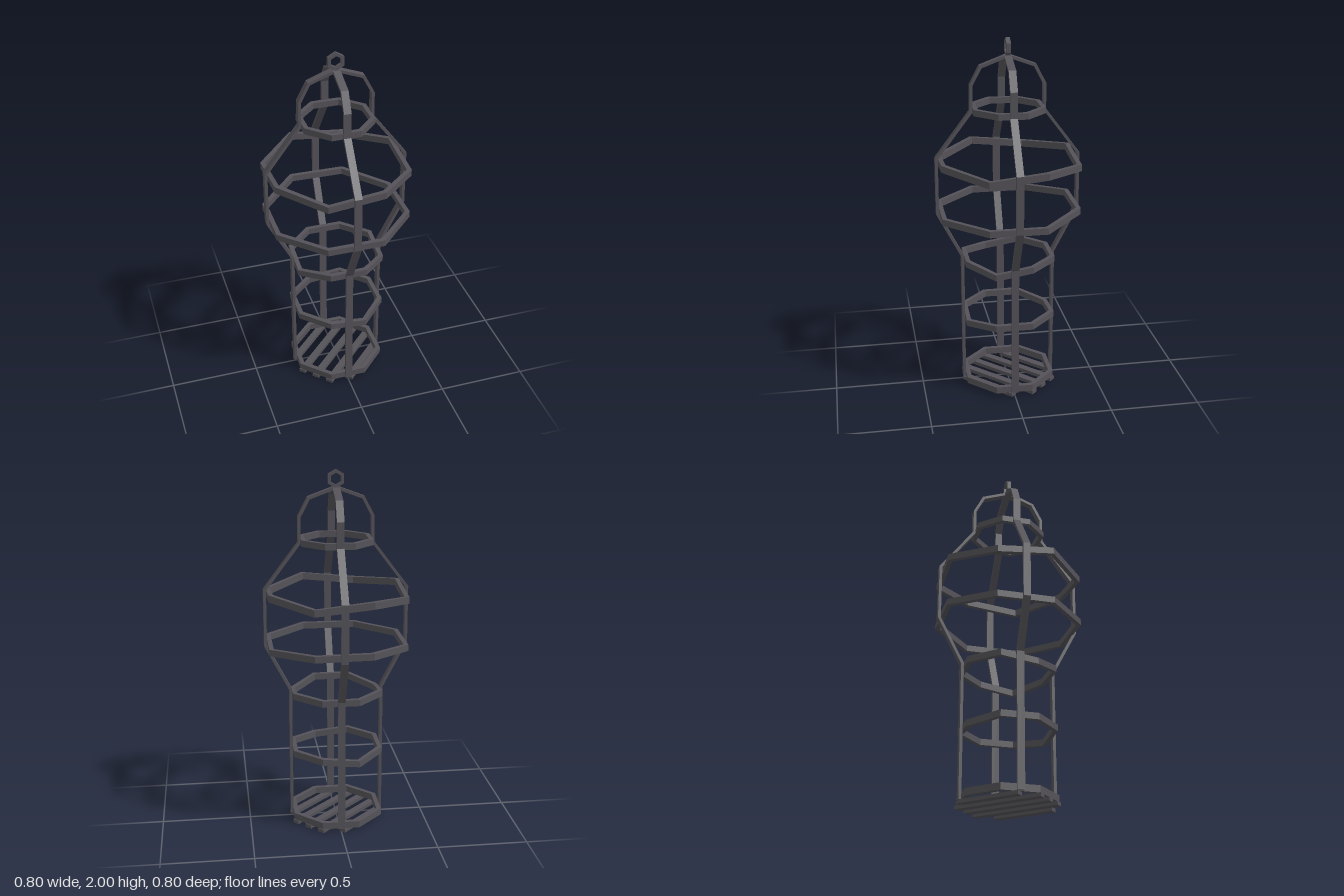
import * as THREE from 'three';

const iron = new THREE.MeshStandardMaterial({ color: 0x545258 });
iron.name = 'dark iron';

// Joins four-cornered cross-sections into a flat-faced bar
function loft(sections, closed) {
  const pos = [];
  const quad = (a, b, c, d) => pos.push(...a, ...b, ...c, ...a, ...c, ...d);
  const n = sections.length;
  for (let i = 0; i < (closed ? n : n - 1); i++) {
    const A = sections[i], B = sections[(i + 1) % n];
    for (let j = 0; j < 4; j++) {
      const k = (j + 1) % 4;
      quad(A[j], A[k], B[k], B[j]);
    }
  }
  if (!closed) {
    const [a, b, c, d] = sections[0];
    quad(d, c, b, a);
    quad(...sections[n - 1]);
  }
  const g = new THREE.BufferGeometry();
  g.setAttribute('position', new THREE.Float32BufferAttribute(pos, 3));
  g.computeVertexNormals();
  return g;
}

// Octagonal hoop; lifts bends each corner up or down
function hoopGeometry(y, apothem, height, lifts) {
  const sections = [];
  for (let k = 0; k < 8; k++) {
    const t = Math.PI / 8 + k * Math.PI / 4;
    const mid = y + (lifts[k] || 0);
    const corner = (a, dy) => {
      const r = a / Math.cos(Math.PI / 8);
      return [-r * Math.sin(t), mid + dy, r * Math.cos(t)];
    };
    const h = height / 2, inner = apothem - 0.025;
    sections.push([corner(apothem, -h), corner(apothem, h), corner(inner, h), corner(inner, -h)]);
  }
  return loft(sections, true);
}

// Flat upright strap following a profile of [radius, height], mitred at bends
function strapGeometry(profile, width, thickness) {
  const pts = profile.map(p => new THREE.Vector2(...p));
  const w = width / 2;
  const sections = pts.map((p, i) => {
    const before = p.clone().sub(pts[Math.max(i - 1, 0)]).normalize();
    const after = pts[Math.min(i + 1, pts.length - 1)].clone().sub(p).normalize();
    const dir = before.clone().add(after).normalize();
    const cosHalf = i === 0 || i === pts.length - 1 ? 1 : dir.dot(after);
    const off = new THREE.Vector2(dir.y, -dir.x).multiplyScalar(thickness / 2 / cosHalf);
    const o = p.clone().add(off), q = p.clone().sub(off);
    return [[o.x, o.y, w], [o.x, o.y, -w], [q.x, q.y, -w], [q.x, q.y, w]];
  });
  return loft(sections, false);
}

export function createModel() {
  const model = new THREE.Group();
  model.name = 'hangingCage';
  const add = (geometry, name) => {
    const mesh = new THREE.Mesh(geometry, iron);
    mesh.name = name;
    model.add(mesh);
    return mesh;
  };

  // Four upright straps meeting at the crown
  const strap = strapGeometry([
    [0.257, 0.025], [0.257, 0.78], [0.392, 1.04], [0.392, 1.355],
    [0.2, 1.61], [0.2, 1.75], [0.148, 1.85], [0, 1.905],
  ], 0.04, 0.016);
  for (let i = 0; i < 4; i++) add(strap, 'uprightStrap').rotation.y = i * Math.PI / 2;

  // Hoops, some of them bent out of level
  const hoops = [
    ['baseHoop', 0.041, 0.25, 0.038, []],
    ['legHoop', 0.427, 0.25, 0.036, [0, 0, 0, -0.02, 0, 0, 0, -0.02]],
    ['waistHoop', 0.768, 0.25, 0.036, [0, -0.03, 0, 0, 0, 0, -0.033, 0]],
    ['lowerChestHoop', 1.043, 0.38, 0.036, [0, 0, 0, 0.024, 0.02, 0, 0, 0]],
    ['upperChestHoop', 1.328, 0.38, 0.038, [0, 1, 2, 3, 4, 5, 6, 7].map(k => (k % 2 ? 0.015 : -0.017))],
    ['neckHoop', 1.62, 0.195, 0.034, []],
  ];
  for (const [name, y, apothem, height, lifts] of hoops) add(hoopGeometry(y, apothem, height, lifts), name);

  // Diagonal floor slats
  for (let i = -2; i <= 2; i++) {
    const length = Math.abs(i) === 2 ? 0.35 : 0.51;
    const slat = add(new THREE.BoxGeometry(length, 0.02, 0.04), 'floorSlat');
    const offset = i * 0.091 / Math.SQRT2;
    slat.position.set(offset, 0.012, offset);
    slat.rotation.y = Math.PI / 4;
  }

  // Six-sided hanging eye
  const hexagon = (path, r) => {
    for (let k = 0; k < 6; k++) {
      const a = Math.PI / 2 + k * Math.PI / 3;
      path[k ? 'lineTo' : 'moveTo'](r * Math.cos(a), r * Math.sin(a));
    }
    path.closePath();
    return path;
  };
  const eyeShape = hexagon(new THREE.Shape(), 0.05);
  eyeShape.holes.push(hexagon(new THREE.Path(), 0.032));
  const eye = new THREE.ExtrudeGeometry(eyeShape, { depth: 0.024, bevelEnabled: false });
  eye.translate(0, 1.95, -0.012);
  add(eye, 'hangingEye');

  return model;
}
